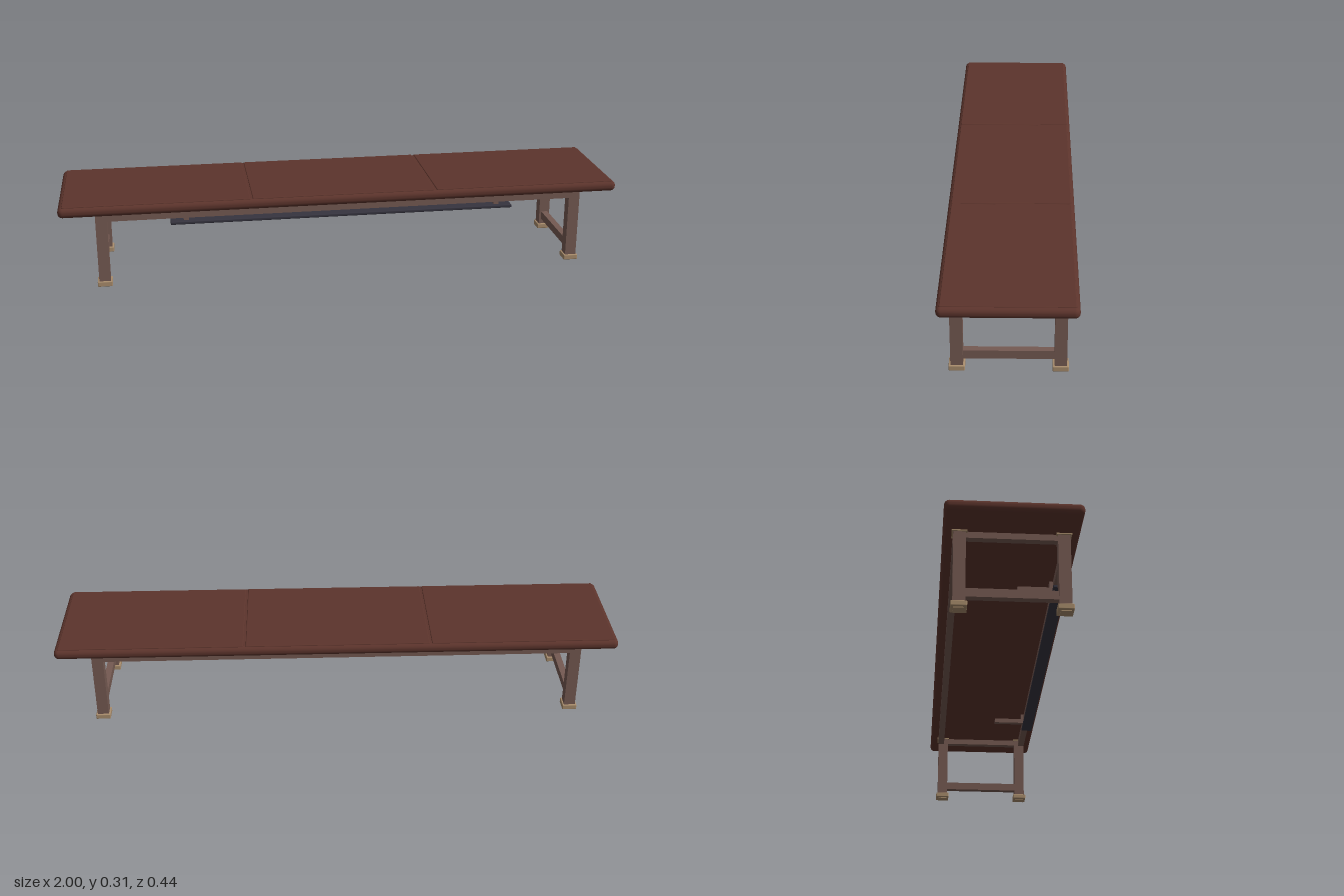
import * as THREE from 'three';
import { RoundedBoxGeometry } from 'three/addons/geometries/RoundedBoxGeometry.js';

const mat = (name, color) => {
  const m = new THREE.MeshStandardMaterial({ color });
  m.name = name;
  return m;
};

export function createModel() {
  const group = new THREE.Group();
  const upholstery = mat('brownUpholstery', 0x5c342c);
  const wood = mat('frameWood', 0x755a52);
  const tan = mat('tanFittings', 0xa88c6c);
  const dark = mat('darkBar', 0x36343f);

  // Box given by its limits on each axis; r rounds the edges
  const box = (name, material, [x0, x1], [y0, y1], [z0, z1], r = 0) => {
    const size = [x1 - x0, y1 - y0, z1 - z0];
    const geometry = r
      ? new RoundedBoxGeometry(...size, 4, r)
      : new THREE.BoxGeometry(...size);
    const mesh = new THREE.Mesh(geometry, material);
    mesh.position.set((x0 + x1) / 2, (y0 + y1) / 2, (z0 + z1) / 2);
    mesh.name = name;
    group.add(mesh);
  };
  const around = (c, half) => [c - half, c + half];

  // Padded seat with three top panels separated by narrow seams
  box('seat', upholstery, [-1, 1], [0.274, 0.311], [-0.218, 0.218], 0.017);
  for (const i of [-1, 0, 1]) {
    box('seatPanel', upholstery, around(i * 0.66, 0.326), [0.306, 0.3135], [-0.207, 0.207], 0.003);
  }

  for (const sx of [-1, 1]) {
    const x = sx * 0.855;
    // Legs with feet, floor pads and top plates
    for (const sz of [-1, 1]) {
      const z = sz * 0.165;
      box('leg', wood, around(x, 0.02), [0.015, 0.272], around(z, 0.02));
      box('foot', tan, around(x, 0.026), [0.003, 0.022], around(z, 0.026), 0.003);
      box('footPad', tan, around(x, 0.017), [0, 0.005], around(z, 0.017));
      box('topPlate', tan, around(x, 0.025), [0.27, 0.275], around(z, 0.025));
    }
    // End rails joining each pair of legs
    box('endApron', wood, around(x, 0.012), [0.252, 0.275], [-0.15, 0.15]);
    box('stretcher', wood, around(x, 0.012), [0.042, 0.072], [-0.15, 0.15]);
    // Arm carrying the front bar
    box('barArm', wood, around(sx * 0.56, 0.009), [0.235, 0.275], [0.15, 0.186]);
    box('barArm', wood, around(sx * 0.56, 0.009), [0.235, 0.252], [0.042, 0.15]);
  }

  // Long rails under the seat
  for (const sz of [-1, 1]) {
    box('longApron', wood, [-0.84, 0.84], [0.246, 0.275], around(sz * 0.174, 0.012));
  }

  // Slim bar along the front
  box('frontBar', dark, [-0.615, 0.615], [0.226, 0.237], [0.158, 0.2], 0.003);

  return group;
}
